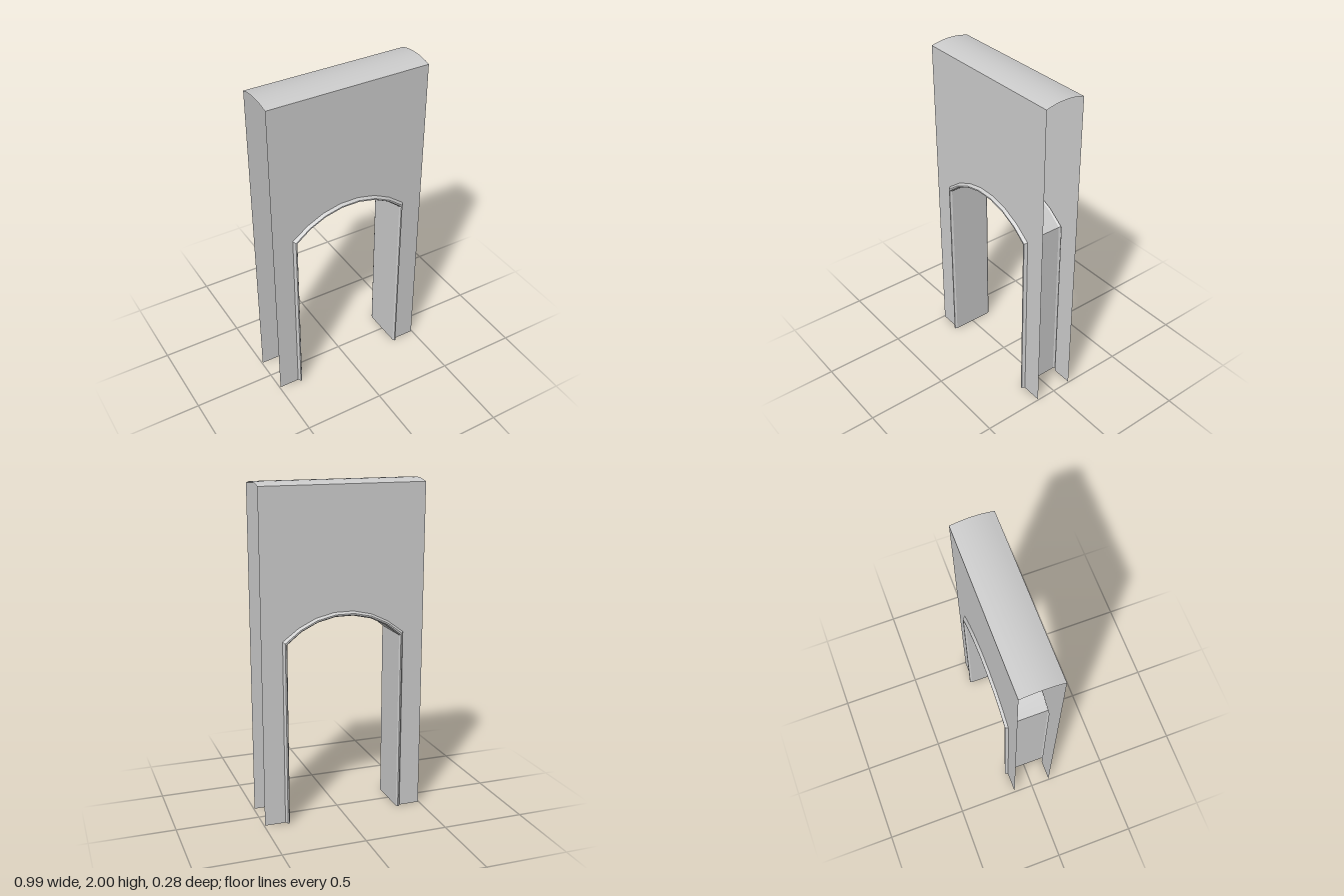
import * as THREE from 'three';
import { toCreasedNormals } from 'three/addons/utils/BufferGeometryUtils.js';

const HALF_WIDTH = 0.495, WALL_Z = 0.123, WALL_TOP = 1.982, TOP = 2;
const OPENING = 0.343, CROWN = 1.237, RADIUS = 0.483, TRIM = 0.026;
const HALF_ANGLE = Math.asin(OPENING / RADIUS), SEGMENTS = 7;

// Opening outline from the right foot over the arch to the left foot, pushed outwards by d.
function openingPath(d) {
  const points = [[-OPENING - d, 0]];
  for (let i = 0; i <= SEGMENTS; i++) {
    const a = HALF_ANGLE * (2 * i / SEGMENTS - 1);
    const spring = i === 0 || i === SEGMENTS;
    const x = RADIUS * Math.sin(a), y = CROWN - RADIUS + RADIUS * Math.cos(a);
    points.push(spring
      ? [x + Math.sign(a) * d, y + 0.68 * d]
      : [x + Math.sin(a) * d, y + Math.cos(a) * d]);
  }
  points.push([OPENING + d, 0]);
  return points;
}

// Skin between rows of points; each row has the same number of [x, y, z] points.
function loft(rows, crease) {
  const n = rows[0].length, index = [];
  for (let r = 0; r < rows.length - 1; r++) {
    for (let i = 0; i < n - 1; i++) {
      const a = r * n + i, b = a + 1, c = a + n, d = c + 1;
      index.push(a, c, b, b, c, d);
    }
  }
  const geometry = new THREE.BufferGeometry();
  geometry.setAttribute('position', new THREE.Float32BufferAttribute(rows.flat(2), 3));
  geometry.setIndex(index);
  return toCreasedNormals(geometry, crease);
}

// Sweep a section of [outward offset, z] points around the opening.
function sweepOpening(section, crease) {
  return loft(section.map(([d, z]) => openingPath(d).map(([x, y]) => [x, y, z])), crease);
}

export function createModel() {
  const group = new THREE.Group();
  const material = new THREE.MeshStandardMaterial({ color: 0xcccccc, side: THREE.DoubleSide });
  const add = (name, geometry) => {
    const mesh = new THREE.Mesh(geometry, material);
    mesh.name = name;
    group.add(mesh);
    return mesh;
  };

  // Wall panel with the arched doorway cut from its lower edge
  const outline = [
    [HALF_WIDTH, 0], [HALF_WIDTH, WALL_TOP], [-HALF_WIDTH, WALL_TOP], [-HALF_WIDTH, 0],
    ...openingPath(TRIM),
  ];
  const panel = new THREE.ShapeGeometry(new THREE.Shape(outline.map(([x, y]) => new THREE.Vector2(x, y))));
  panel.translate(0, 0, WALL_Z);

  // Raised ridge that frames the doorway
  const ridge = sweepOpening([[TRIM, WALL_Z], [0.015, 0.14], [0.007, 0.14], [0, 0.128]], 0.5);

  for (const side of ['front', 'back']) {
    const turn = side === 'front' ? 0 : Math.PI;
    add(side + 'Wall', panel).rotation.y = turn;
    add(side + 'ArchTrim', ridge).rotation.y = turn;
  }

  // Inner lining of the doorway, open below
  add('doorwayLining', sweepOpening([[0, 0.128], [0, -0.128]], 0.5));

  // Gently rounded cap along the top; the ends stay open
  const cap = [];
  for (let i = 0; i <= 8; i++) {
    const t = 1 - i / 4;
    const y = WALL_TOP + (TOP - WALL_TOP) * (1 - t * t);
    cap.push([[-HALF_WIDTH, y, -t * WALL_Z], [HALF_WIDTH, y, -t * WALL_Z]]);
  }
  add('roundedCap', loft(cap, 0.5));

  return group;
}
